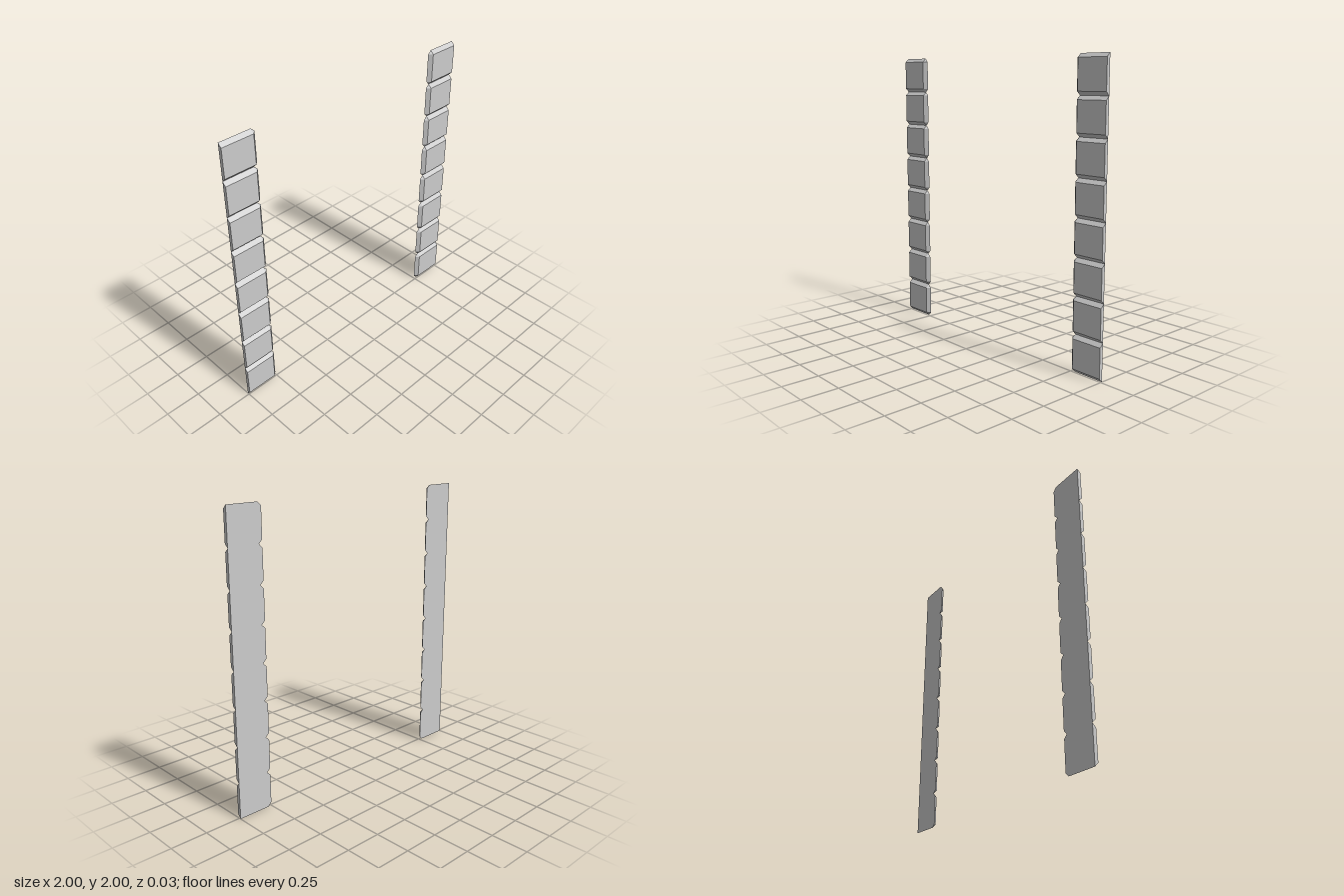
import * as THREE from 'three';
import { ConvexGeometry } from 'three/addons/geometries/ConvexGeometry.js';

const COUNT = 8;       // blocks per column
const SIZE = 0.25;     // block width and height
const BEVEL = 0.025;   // bevel width
const DEPTH = 0.025;   // block thickness
const OUTER = 1;       // distance of the flat outer edge from the centre

// Quoin block: flat back and outer side, bevelled top, bottom and inner side with clipped corners
function blockGeometry(side) {
  const h = SIZE / 2;
  const inner = OUTER - SIZE;
  const points = [];
  for (const s of [-1, 1]) {
    const add = (x, y, z) => points.push(new THREE.Vector3(side * x, s * y, z * DEPTH / 2));
    add(OUTER, h, -1);
    add(inner + BEVEL, h, -1);
    add(inner, h - BEVEL, -1);
    add(OUTER, h - BEVEL, 1);
    add(inner + BEVEL, h - BEVEL, 1);
  }
  return new ConvexGeometry(points);
}

export function createModel() {
  const model = new THREE.Group();
  model.name = 'cornerQuoins';
  const material = new THREE.MeshStandardMaterial({ color: 0xcccccc, flatShading: true });

  // One stacked column on each side
  for (const [name, side] of [['left', 1], ['right', -1]]) {
    const column = new THREE.Group();
    column.name = name + 'Column';
    const geometry = blockGeometry(side);
    for (let i = 0; i < COUNT; i++) {
      const block = new THREE.Mesh(geometry, material);
      block.name = name + 'Block' + (i + 1);
      block.position.y = (i + 0.5) * SIZE;
      column.add(block);
    }
    model.add(column);
  }
  return model;
}
